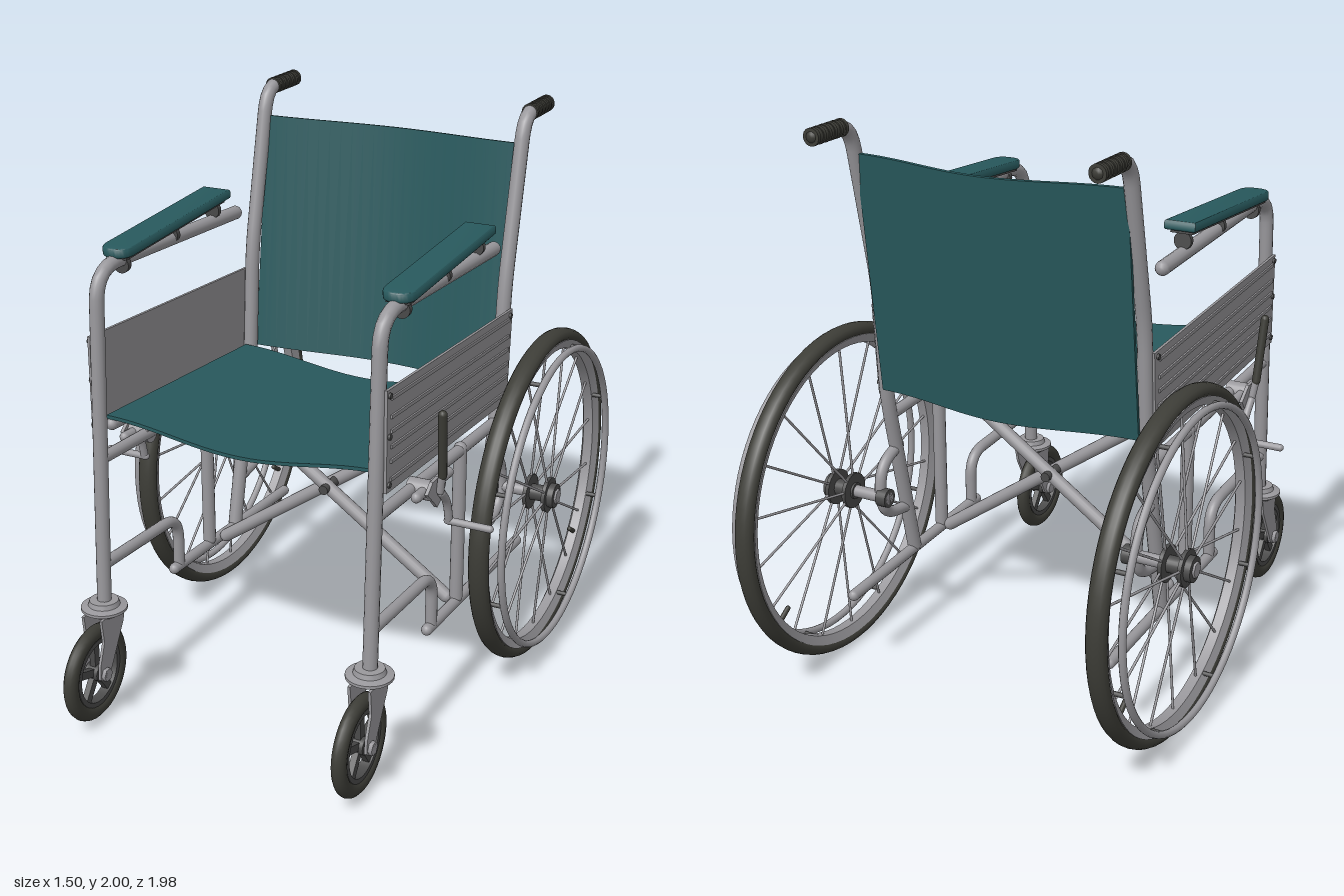
import * as THREE from 'three';
import { mergeGeometries, toCreasedNormals } from 'three/addons/utils/BufferGeometryUtils.js';

const mat = (name, color) => {
  const m = new THREE.MeshStandardMaterial({ color });
  m.name = name;
  return m;
};
const V = (x, y, z) => new THREE.Vector3(x, y, z);

export function createModel() {
  const steel = mat('steel', 0x99989c);
  const panelMetal = mat('panel metal', 0x949396);
  const fabric = mat('teal vinyl', 0x28595d);
  const rubber = mat('rubber', 0x3d3d37);
  const dark = mat('dark metal', 0x4a4a4a);
  const model = new THREE.Group();
  model.name = 'wheelchair';

  const add = (parent, name, geo, material, p = [0, 0, 0], r = [0, 0, 0]) => {
    const m = new THREE.Mesh(geo, material);
    m.name = name;
    m.position.set(...p);
    m.rotation.set(...r);
    parent.add(m);
    return m;
  };
  const group = (parent, name, p = [0, 0, 0]) => {
    const g = new THREE.Group();
    g.name = name;
    g.position.set(...p);
    parent.add(g);
    return g;
  };

  // Capped tube through points, with corners rounded by the given bend size
  const pipe = (parent, name, pts, radius, material, bend = 0.1) => {
    const v = pts.map((p) => V(...p));
    const path = new THREE.CurvePath();
    let from = v[0];
    for (let i = 1; i < v.length - 1; i++) {
      const cut = (to) => v[i].clone().lerp(to, Math.min(0.49, bend / v[i].distanceTo(to)));
      const a = cut(v[i - 1]), b = cut(v[i + 1]);
      path.add(new THREE.LineCurve3(from, a));
      path.add(new THREE.QuadraticBezierCurve3(a, v[i], b));
      from = b;
    }
    const end = v[v.length - 1];
    path.add(new THREE.LineCurve3(from, end));
    const tube = new THREE.TubeGeometry(path, v.length > 2 ? 64 : 1, radius, 14);
    const caps = [v[0], end].map((p) => new THREE.SphereGeometry(radius, 14, 8).translate(p.x, p.y, p.z));
    return add(parent, name, mergeGeometries([tube, ...caps]), material);
  };
  // Cylinder lying along x
  const xCyl = (parent, name, r, len, material, p, sides = 24) =>
    add(parent, name, new THREE.CylinderGeometry(r, r, len, sides), material, p, [0, 0, Math.PI / 2]);
  // Closed ring profile of [radius, offset] spun about x
  const xRing = (parent, name, profile, material, segs = 72) => {
    const pts = [...profile, profile[0]].map(([r, o]) => new THREE.Vector2(r, o));
    return add(parent, name, toCreasedNormals(new THREE.LatheGeometry(pts, segs), 0.7), material, [0, 0, 0], [0, 0, Math.PI / 2]);
  };
  // Flat outline given as [z, y] extruded along x
  const plate = (parent, name, outline, thick, material, x) => {
    const shape = new THREE.Shape(outline.map(([z, y]) => new THREE.Vector2(-z, y)));
    const geo = new THREE.ExtrudeGeometry(shape, { depth: thick, bevelEnabled: false, curveSegments: 8 });
    return add(parent, name, geo.translate(0, 0, -thick / 2), material, [x, 0, 0], [0, Math.PI / 2, 0]);
  };

  // Fabric sling: a sagging strip extruded along its length
  const sling = (name, half, sag, length, p, rx) => {
    const n = 24, t = 0.012, top = [], low = [];
    for (let i = 0; i <= n; i++) {
      const u = (i / n) * 2 - 1;
      const y = -sag * (1 + Math.cos(Math.PI * u)) / 2;
      top.push(new THREE.Vector2(u * half, y));
      low.unshift(new THREE.Vector2(u * half, y - t));
    }
    const geo = new THREE.ExtrudeGeometry(new THREE.Shape([...low, ...top]), { depth: length, bevelEnabled: false });
    add(model, name, toCreasedNormals(geo, 0.6), fabric, p, [rx, 0, 0]);
  };
  sling('seat', 0.505, 0.05, 0.945, [0, 1.035, -0.275], -0.06);
  sling('backrest', 0.495, -0.06, 0.87, [0, 1.015, -0.35], -(Math.PI / 2 + 0.125));

  // Folding cross brace
  for (const s of [1, -1]) {
    pipe(model, 'crossBar', [[-s * 0.48, 1.01, s * 0.035], [s * 0.47, 0.345, s * 0.035]], 0.024, steel);
  }
  add(model, 'crossPivot', new THREE.CylinderGeometry(0.018, 0.018, 0.15, 12), dark, [0, 0.675, 0], [Math.PI / 2, 0, 0]);

  const driveWheel = (parent, s) => {
    const w = group(parent, 'driveWheel', [s * 0.655, 0.615, -0.377]);
    const tyre = [];
    for (let i = 0; i < 14; i++) {
      const a = (i / 14) * Math.PI * 2;
      tyre.push([0.585 + 0.025 * Math.cos(a), 0.036 * Math.sin(a)]);
    }
    xRing(w, 'tyre', tyre, rubber);
    xRing(w, 'rim', [[0.538, -0.018], [0.57, -0.032], [0.57, 0.032], [0.538, 0.018]], steel);
    xCyl(w, 'hub', 0.03, 0.1, dark, [0, 0, 0]);
    for (const o of [-0.035, 0.035]) xCyl(w, 'hubFlange', 0.065, 0.014, dark, [o, 0, 0]);
    xCyl(w, 'hubCap', 0.045, 0.03, dark, [s * 0.05, 0, 0]);
    xCyl(w, 'hubNut', 0.028, 0.03, steel, [s * 0.058, 0, 0], 6);
    for (let i = 0; i < 18; i++) {
      const a = (i / 18) * Math.PI * 2, c = Math.cos(a), d = Math.sin(a), o = i % 2 ? 0.035 : -0.035;
      pipe(w, 'spoke', [[o, 0.05 * c, 0.05 * d], [0, 0.545 * c, 0.545 * d]], 0.0045, steel);
    }
    // Push rim and its stand-offs
    add(w, 'pushRim', new THREE.TorusGeometry(0.545, 0.013, 10, 72), steel, [s * 0.067, 0, 0], [0, Math.PI / 2, 0]);
    for (let i = 0; i < 8; i++) {
      const a = ((i + 0.5) / 8) * Math.PI * 2, y = 0.546 * Math.cos(a), z = 0.546 * Math.sin(a);
      pipe(w, 'pushRimStud', [[s * 0.02, y, z], [s * 0.067, y, z]], 0.008, dark);
    }
    pipe(w, 'valve', [[0, -0.345, -0.43], [0, -0.31, -0.375]], 0.009, rubber);
  };

  const castor = (parent, s) => {
    const c = group(parent, 'castor', [s * 0.505, 0.19, 0.814]);
    const tyre = [];
    for (let i = 0; i < 12; i++) {
      const a = (i / 12) * Math.PI * 2;
      tyre.push([0.146 + 0.029 * Math.cos(a), 0.025 * Math.sin(a)]);
    }
    xRing(c, 'castorTyre', tyre, rubber, 40);
    xRing(c, 'castorRim', [[0.108, -0.018], [0.125, -0.018], [0.125, 0.018], [0.108, 0.018]], dark, 40);
    xCyl(c, 'castorHub', 0.03, 0.05, dark, [0, 0, 0]);
    for (let i = 0; i < 5; i++) {
      const a = (i / 5) * Math.PI * 2;
      const geo = new THREE.BoxGeometry(0.022, 0.1, 0.028).translate(0, 0.065, 0);
      add(c, 'castorSpoke', geo, dark, [0, 0, 0], [a, 0, 0]);
    }
    xCyl(c, 'castorAxle', 0.014, 0.11, steel, [0, 0, 0], 12);
    // Fork with its swivel housing
    for (const o of [-0.036, 0.036]) {
      plate(c, 'forkBlade', [[0.005, 0.205], [-0.14, 0.205], [-0.125, 0.15], [-0.03, -0.015], [0, -0.03], [0.03, -0.01], [0.025, 0.04], [-0.005, 0.12]], 0.01, steel, o);
      xCyl(c, 'axleNut', 0.024, 0.016, steel, [o * 1.3, 0, 0], 6);
    }
    const housing = [[0, 0.19], [0.045, 0.19], [0.08, 0.212], [0.08, 0.222], [0.055, 0.228], [0.05, 0.245], [0, 0.245]];
    const lathe = new THREE.LatheGeometry(housing.map(([r, y]) => new THREE.Vector2(r, y)), 28);
    add(c, 'forkHousing', toCreasedNormals(lathe, 0.5), steel, [0, 0, -0.074]);
  };

  const armrest = (parent, s) => {
    const a = group(parent, 'armrest', [s * 0.505, 1.648, 0.248]);
    a.rotation.x = 0.062;
    // Pad rounded toward its ends
    const pad = new THREE.Shape();
    pad.moveTo(-0.047, -0.33);
    pad.lineTo(0.047, -0.33);
    pad.lineTo(0.047, 0.29);
    pad.quadraticCurveTo(0.047, 0.34, 0, 0.34);
    pad.quadraticCurveTo(-0.047, 0.34, -0.047, 0.29);
    const geo = new THREE.ExtrudeGeometry(pad, { depth: 0.018, bevelSize: 0.008, bevelThickness: 0.008, bevelSegments: 3 });
    add(a, 'armPad', toCreasedNormals(geo, 0.8), fabric, [0, 0.012, 0], [Math.PI / 2, 0, 0]);
    add(a, 'armPadBase', new THREE.BoxGeometry(0.08, 0.012, 0.64), dark, [0, -0.018, 0]);
    for (const z of [0.29, -0.02, -0.3]) {
      xCyl(a, 'armPadClip', 0.031, 0.018, dark, [0, -0.05, z]).rotation.set(Math.PI / 2, 0, 0);
    }
  };

  const sidePanel = (parent, s) => {
    const g = group(parent, 'sidePanel');
    const x = s * 0.534, left = 0.705, right = -0.335;
    plate(g, 'skirtPanel', [[left, 1.375], [right, 1.318], [-0.31, 0.98], [left, 1.035]], 0.01, panelMetal, x);
    // Pressed ribs following the slope of the panel
    for (const f of [0.08, 0.27, 0.42, 0.58, 0.73, 0.92]) {
      const y = 1.045 + 0.32 * f;
      plate(g, 'panelRib', [[0.68, y + 0.01], [-0.3, y - 0.045], [-0.3, y - 0.057], [0.68, y - 0.002]], 0.008, panelMetal, s * 0.541);
    }
    for (const [z, y] of [[0.69, 1.355], [0.69, 1.22], [0.69, 1.06], [-0.31, 1.3], [-0.3, 1.02]]) {
      xCyl(g, 'panelRivet', 0.01, 0.012, dark, [s * 0.54, y, z], 10);
    }
  };

  const brake = (parent, s) => {
    const b = group(parent, 'brake');
    xCyl(b, 'brakeClamp', 0.034, 0.09, steel, [s * 0.535, 0.935, 0.42]);
    plate(b, 'brakePlate', [[0.48, 0.945], [0.44, 0.975], [0.39, 0.975], [0.33, 0.93], [0.36, 0.89], [0.4, 0.87], [0.43, 0.9]], 0.012, steel, s * 0.575);
    pipe(b, 'brakeRail', [[s * 0.55, 0.94, 0.5], [s * 0.55, 0.925, 0.24]], 0.018, steel);
    pipe(b, 'brakeLever', [[s * 0.59, 0.93, 0.4], [s * 0.6, 1.0, 0.41]], 0.013, steel);
    pipe(b, 'brakeHandle', [[s * 0.6, 0.99, 0.408], [s * 0.61, 1.215, 0.442]], 0.015, rubber);
    pipe(b, 'brakeArm', [[s * 0.59, 0.92, 0.39], [s * 0.59, 0.87, 0.34], [s * 0.59, 0.79, 0.32]], 0.014, steel, 0.04);
    pipe(b, 'brakeShoe', [[s * 0.585, 0.79, 0.32], [s * 0.735, 0.79, 0.32]], 0.013, steel);
  };

  for (const s of [1, -1]) {
    const side = group(model, s > 0 ? 'leftSide' : 'rightSide');
    const x = s * 0.505;
    // Tubular side frame
    pipe(side, 'frontPostAndArm', [[x, 0.42, 0.738], [x, 1.38, 0.695], [x, 1.605, 0.685], [x, 1.565, -0.215]], 0.025, steel, 0.13);
    pipe(side, 'backPost', [[x, 0.335, -0.165], [x, 0.97, -0.31], [x, 1.4, -0.34], [x, 1.975, -0.47], [x, 1.975, -0.6]], 0.026, steel, 0.09);
    pipe(side, 'upperRail', [[x, 0.95, 0.71], [x, 0.9, -0.28]], 0.021, steel);
    pipe(side, 'seatRail', [[s * 0.49, 1.06, 0.66], [s * 0.49, 1.0, -0.27]], 0.021, steel);
    pipe(side, 'frontStay', [[x, 0.565, 0.73], [x, 0.54, 0.25], [x, 0.345, 0.25]], 0.021, steel, 0.09);
    pipe(side, 'lowerRail', [[x, 0.342, 0.285], [x, 0.306, -0.565]], 0.02, steel);
    pipe(side, 'middlePost', [[x, 0.35, 0.03], [x, 0.92, 0.03]], 0.024, steel);
    // Axle bracket and axle
    pipe(side, 'axleBracket', [[x, 0.77, -0.25], [x, 0.73, -0.36], [x, 0.615, -0.38], [x, 0.53, -0.34], [x, 0.51, -0.2]], 0.021, steel, 0.08);
    xCyl(side, 'axle', 0.022, 0.17, steel, [s * 0.55, 0.615, -0.377]);
    xCyl(side, 'axleCollar', 0.034, 0.04, dark, [s * 0.485, 0.615, -0.377]);
    // Ribbed push handle
    pipe(side, 'handleGrip', [[x, 1.975, -0.535], [x, 1.975, -0.665]], 0.027, rubber);
    for (let i = 0; i < 6; i++) {
      add(side, 'gripRib', new THREE.CylinderGeometry(0.03, 0.03, 0.014, 18), rubber, [x, 1.975, -0.522 - i * 0.031], [Math.PI / 2, 0, 0]);
    }
    armrest(side, s);
    sidePanel(side, s);
    brake(side, s);
    castor(side, s);
    driveWheel(side, s);
  }
  return model;
}
